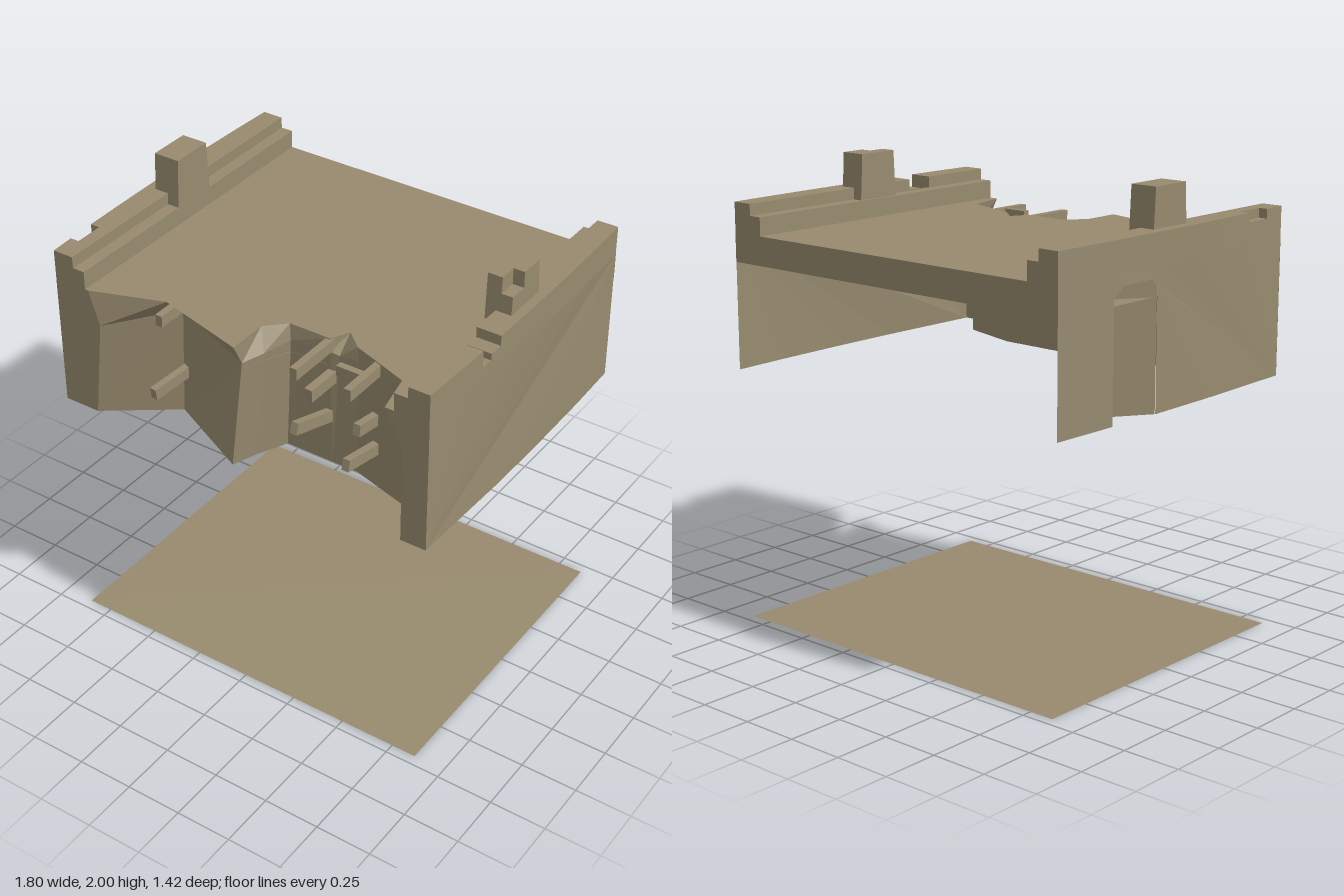
import * as THREE from 'three';

const stone = new THREE.MeshStandardMaterial({ color: 0x978a6e, flatShading: true, side: THREE.DoubleSide });
stone.name = 'sandstone';

// Front wall columns: bottom x,z | brow x,y,z | roof edge x,z
const COLS = [
  [-0.885, 0.71, -0.885, 1.55, 0.71, -0.885, 0.71],
  [-0.72, 0.71, -0.67, 1.55, 0.71, -0.72, 0.71],
  [-0.43, 0.50, -0.41, 1.61, 0.50, -0.41, 0.60],
  [-0.04, 0.69, 0.00, 1.60, 0.66, 0.00, 0.71],
  [0.00, 0.58, 0.04, 1.61, 0.57, 0.00, 0.53],
  [0.06, 0.45, 0.09, 1.63, 0.46, 0.08, 0.45],
  [0.28, 0.45, 0.27, 1.64, 0.45, 0.27, 0.45],
  [0.33, 0.45, 0.31, 1.63, 0.445, 0.31, 0.37],
  [0.40, 0.45, 0.40, 1.64, 0.445, 0.39, 0.44],
  [0.68, 0.53, 0.67, 1.58, 0.53, 0.65, 0.53],
  [0.77, 0.71, 0.77, 1.55, 0.71, 0.69, 0.71],
  [0.885, 0.71, 0.885, 1.55, 0.71, 0.885, 0.71],
];
const FLOOR = 1.11, CEILING = 1.575, ROOF = 1.70, TOP = 1.83, BACK = -0.715, FRONT = 0.71;

// Gentle outward bow of the side walls
function bow(geo) {
  const p = geo.attributes.position;
  for (let i = 0; i < p.count; i++) {
    const x = p.getX(i), z = p.getZ(i);
    if (Math.abs(x) > 0.86) p.setX(i, x - Math.sign(x) * 0.016 * (z / 0.72) ** 2);
  }
  geo.computeVertexNormals();
  return geo;
}

export function createModel() {
  const model = new THREE.Group();
  const add = (name, geo) => {
    const m = new THREE.Mesh(geo, stone);
    m.name = name;
    model.add(m);
    return m;
  };
  const block = (name, x0, x1, y0, y1, z0, z1, segs = 1) => {
    const g = new THREE.BoxGeometry(x1 - x0, y1 - y0, z1 - z0, 1, 1, segs);
    g.translate((x0 + x1) / 2, (y0 + y1) / 2, (z0 + z1) / 2);
    return add(name, segs > 1 ? bow(g) : g);
  };
  // Horizontal sheet from a list of [x, z]
  const sheet = (name, pts, y) => {
    const s = new THREE.Shape(pts.map(([x, z]) => new THREE.Vector2(x, -z)));
    add(name, new THREE.ShapeGeometry(s).rotateX(-Math.PI / 2).translate(0, y, 0));
  };
  // Surface through a row of columns, each a list of points from bottom to top
  const folded = (name, columns) => {
    const rows = columns[0].length, idx = [];
    for (let i = 1; i < columns.length; i++) for (let r = 0; r < rows - 1; r++) {
      const a = (i - 1) * rows + r, b = i * rows + r;
      idx.push(a, b, b + 1, a, b + 1, a + 1);
    }
    const g = new THREE.BufferGeometry();
    g.setAttribute('position', new THREE.Float32BufferAttribute(columns.flat(2), 3));
    g.setIndex(idx);
    g.computeVertexNormals();
    add(name, g);
  };

  // Ground
  add('ground', new THREE.PlaneGeometry(1.72, 1.41).rotateX(-Math.PI / 2));

  // Roof, ceiling and back band
  const rear = [[0.885, BACK], [-0.885, BACK]];
  sheet('roof', [...COLS.map(c => [c[5], c[6]]), ...rear], ROOF);
  sheet('ceiling', [...COLS.map(c => [c[2], c[4]]), ...rear], CEILING);
  add('backBand', new THREE.PlaneGeometry(1.77, ROOF - CEILING)
    .rotateY(Math.PI).translate(0, (ROOF + CEILING) / 2, BACK));

  // Craggy front wall
  folded('frontWall', COLS.map(([bx, bz, mx, my, mz, tx, tz]) =>
    [[bx, FLOOR, bz], [mx, my, mz], [tx, ROOF, tz]]));

  // Thin side walls, drawn as [z, y] outlines
  const stations = [-0.45, -0.1, 0.12, 0.45];
  const door = [[-0.14, FLOOR], [-0.14, 1.62], [-0.17, 1.65], [-0.34, 1.65], [-0.40, 1.61], [-0.40, FLOOR]];
  const sideWall = (name, x, bottomCuts) => {
    const pts = [[BACK, FLOOR], [BACK, ROOF], ...stations.map(z => [z, ROOF]),
      [FRONT, ROOF], [FRONT, FLOOR], [0.2, FLOOR], ...bottomCuts];
    const s = new THREE.Shape(pts.map(([z, y]) => new THREE.Vector2(-z, y)));
    add(name, bow(new THREE.ShapeGeometry(s).rotateY(Math.PI / 2).translate(x, 0, 0)));
  };
  sideWall('leftWall', 0.9, [[-0.1, FLOOR], [-0.45, FLOOR]]);
  sideWall('rightWall', -0.9, door);

  // Wedge-shaped alcove behind the doorway
  const alcove = [[-0.893, -0.40], [-0.74, -0.37], [-0.897, -0.14]];
  folded('alcoveWalls', alcove.map(([x, z]) => [[x, FLOOR, z], [x, 1.65, z]]));
  sheet('alcoveTop', alcove, 1.65);

  // Parapets with a lower inner step
  block('rightParapetBack', -0.9, -0.79, ROOF, TOP, BACK, 0.47, 6);
  block('rightParapetInner', -0.85, -0.79, ROOF, TOP, 0.47, 0.60);
  block('rightParapetDent', -0.9, -0.85, ROOF, 1.79, 0.47, 0.60, 2);
  block('rightParapetFront', -0.9, -0.79, ROOF, TOP, 0.60, FRONT, 2);
  block('rightStep', -0.80, -0.735, ROOF - 0.02, 1.78, BACK, FRONT);
  block('leftParapetBack', 0.79, 0.9, ROOF, TOP, BACK, 0.235, 5);
  block('leftParapetNotchBack', 0.79, 0.9, ROOF, 1.785, 0.235, 0.30, 2);
  block('leftParapetNotchFront', 0.79, 0.9, ROOF, 1.755, 0.30, 0.36, 2);
  block('leftParapetFront', 0.79, 0.9, ROOF, TOP, 0.36, FRONT, 3);
  block('leftStep', 0.73, 0.80, ROOF - 0.02, 1.78, BACK, FRONT);

  // Merlons narrowing towards the top; the left one has a broken corner
  const merlonPart = (name, x0, x1, y0, y1, z0, z1) => {
    const g = block(name, x0, x1, y0, y1, z0, z1).geometry, p = g.attributes.position;
    for (let i = 0; i < p.count; i++) {
      p.setZ(i, p.getZ(i) * (1 - 0.5 * (p.getY(i) - 1.76)));
    }
    g.computeVertexNormals();
  };
  merlonPart('rightMerlon', -0.855, -0.735, 1.76, 1.995, -0.115, 0.10);
  merlonPart('leftMerlonBase', 0.745, 0.86, 1.76, 1.91, -0.115, 0.10);
  merlonPart('leftMerlonBack', 0.745, 0.86, 1.91, 1.98, -0.115, 0.01);
  merlonPart('leftMerlonInner', 0.745, 0.81, 1.91, 1.98, 0.01, 0.10);

  // Beams poking through the front wall: start, end, width, height
  const beam = (a, b, w = 0.032, h = 0.05) => {
    const s = new THREE.Vector3(...a), e = new THREE.Vector3(...b);
    const m = add('beam', new THREE.BoxGeometry(w, h, s.distanceTo(e)));
    m.position.copy(s).add(e).multiplyScalar(0.5);
    m.lookAt(e);
  };
  beam([-0.38, 1.67, 0.49], [-0.38, 1.67, 0.69]);
  beam([-0.39, 1.33, 0.44], [-0.43, 1.30, 0.69]);
  beam([0.265, 1.67, 0.42], [0.265, 1.67, 0.69]);
  beam([0.28, 1.53, 0.41], [0.27, 1.52, 0.60], 0.036, 0.055);
  beam([0.265, 1.32, 0.40], [0.265, 1.415, 0.69]);
  beam([0.51, 1.67, 0.47], [0.51, 1.67, 0.69]);
  beam([0.50, 1.42, 0.42], [0.50, 1.455, 0.61]);
  beam([0.505, 1.28, 0.41], [0.505, 1.34, 0.69]);
  beam([0.385, 1.67, 0.565], [0.50, 1.67, 0.565], 0.03, 0.045);

  return model;
}
